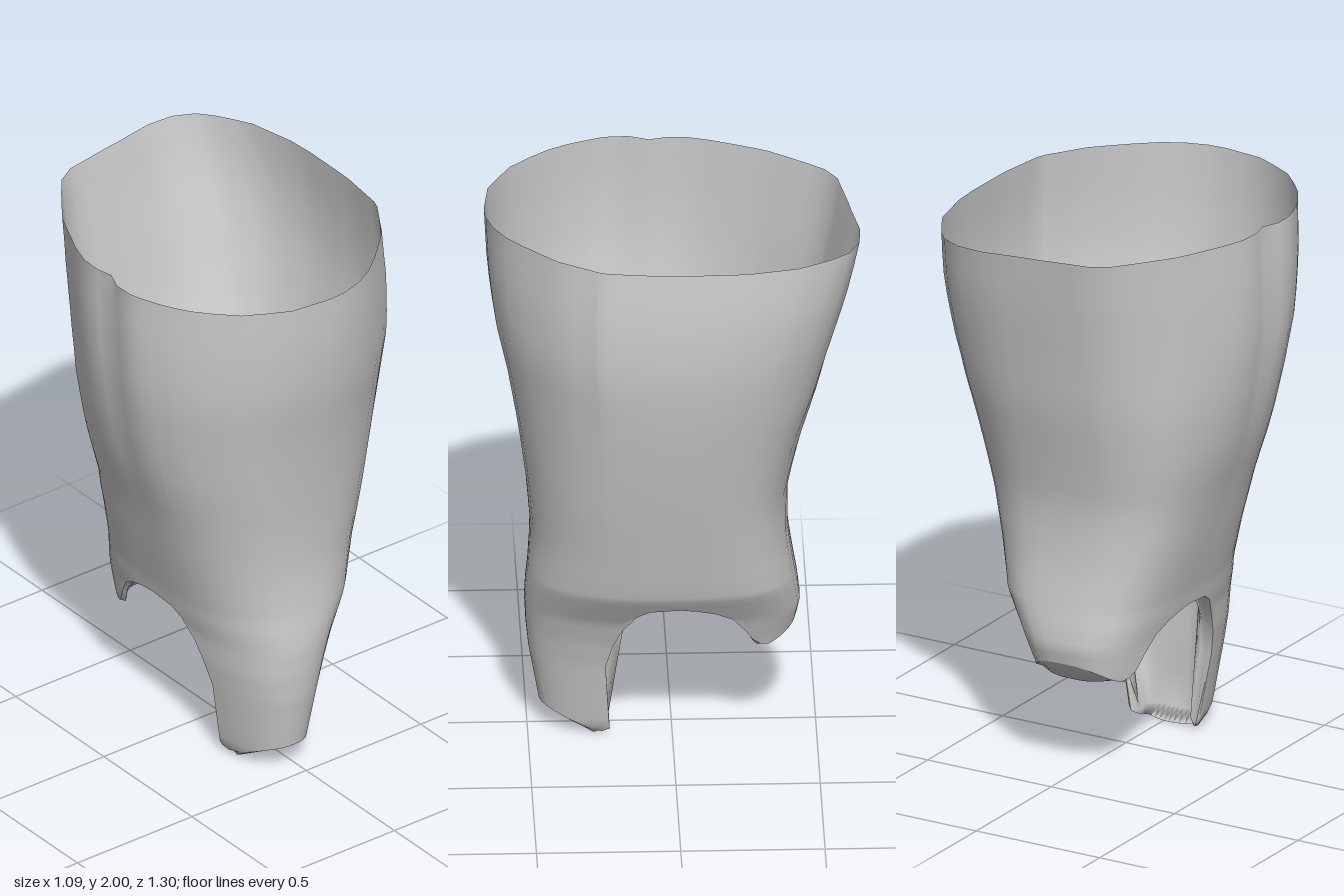
import * as THREE from 'three';

const { lerp, smoothstep, clamp } = THREE.MathUtils;
const material = new THREE.MeshStandardMaterial({ color: 0xcccccc, side: THREE.DoubleSide });

// Linear lookup in rows of [key, value, value...], keys descending
function lookup(rows, key, col) {
  if (key >= rows[0][0]) return rows[0][col];
  for (let i = 1; i < rows.length; i++) {
    const a = rows[i - 1], b = rows[i];
    if (key >= b[0]) return a[col] + (b[col] - a[col]) * (a[0] - key) / (a[0] - b[0]);
  }
  return rows[rows.length - 1][col];
}

// Cross-section extents: height, x min, x max, z back, z front
const sections = [
  [2, -.55, .525, -.65, .65], [1.8, -.553, .545, -.607, .64], [1.6, -.54, .545, -.555, .615],
  [1.4, -.505, .515, -.508, .57], [1.2, -.455, .475, -.45, .535], [1, -.385, .43, -.402, .507],
  [.8, -.33, .38, -.4, .49], [.64, -.285, .34, -.425, .5], [.57, -.27, .295, -.437, .507],
  [.5, -.25, .25, -.445, .51], [.4, -.235, .21, -.425, .505], [.3, -.215, .18, -.4, .495],
  [.1, -.18, .14, -.37, .46], [.05, -.17, .13, -.36, .45], [0, -.14, .1, -.36, .44],
];

// Height of the lower edge, by depth from front (1) to back (-1)
const lowerEdge = [
  [1, .1], [.9, .085], [.7, .045], [.5, .015], [.43, .03], [.415, .3], [.36, .4], [.3, .47], [.2, .545],
  [.1, .575], [-.15, .585], [-.35, .565], [-.5, .52], [-.6, .46], [-.7, .395], [-.8, .37],
  [-.92, .4], [-1, .44],
];

// Uneven outline of the open top, x and z
const topOutline = [
  [0, .65], [.1, .64], [.23, .57], [.4, .41], [.5, .25], [.525, .05], [.525, -.23], [.48, -.44],
  [.39, -.59], [.32, -.64], [.21, -.65], [-.21, -.58], [-.27, -.54], [-.34, -.45], [-.42, -.34],
  [-.5, -.16], [-.54, -.03], [-.51, .05], [-.55, .15], [-.53, .24], [-.49, .34], [-.43, .44],
  [-.32, .55], [-.17, .63],
].map(([x, z]) => [(x + .0125) / .5375, z / .65]);
const polar = topOutline.flatMap(([x, z], i) => {
  const [x2, z2] = topOutline[(i + 1) % topOutline.length];
  return [0, .2, .4, .6, .8].map((t) => [lerp(x, x2, t), lerp(z, z2, t)]);
}).map(([x, z]) => [Math.atan2(x, z), Math.hypot(x, z)]).sort((a, b) => b[0] - a[0]);
polar.unshift([polar[polar.length - 1][0] + 2 * Math.PI, polar[polar.length - 1][1]]);
polar.push([polar[1][0] - 2 * Math.PI, polar[1][1]]);

// Half width of a rounded section at depth s
const spread = (s, n) => Math.pow(Math.max(0, 1 - Math.pow(Math.abs(s), n)), 1 / n);

// Point on the wall at depth s (-1..1), on side +1 or -1, at height y
function wallPoint(s, side, y) {
  const [x0, x1, z0, z1] = [1, 2, 3, 4].map((c) => lookup(sections, y, c));
  const u = side * spread(s, s > 0 ? 2.4 : 3.1 - .9 * smoothstep(y, .7, 1.8));
  const k = lookup(polar, Math.atan2(u, s), 1) / Math.hypot(u, s);
  const bend = lerp(1, k, smoothstep(y, .8, 2));
  return [(x0 + x1) / 2 + u * bend * (x1 - x0) / 2, y, (z0 + z1) / 2 + s * bend * (z1 - z0) / 2];
}

// Pulls an inner point sideways so that it stays within the wall
function keepInside([x, y, z], side) {
  const z0 = lookup(sections, y, 3), z1 = lookup(sections, y, 4);
  const s = clamp((2 * z - z0 - z1) / (z1 - z0), -1, 1);
  const limit = wallPoint(s, side, y)[0] - side * .025;
  return [side > 0 ? Math.min(x, limit) : Math.max(x, limit), y, z];
}

// Joins equal closed rows of points into a skin
function skin(name, rows) {
  const n = rows[0].length, index = [];
  for (let r = 0; r + 1 < rows.length; r++) {
    for (let c = 0; c < n; c++) {
      const d = (c + 1) % n, a = r * n, b = a + n;
      index.push(a + c, b + c, a + d, a + d, b + c, b + d);
    }
  }
  const g = new THREE.BufferGeometry();
  g.setAttribute('position', new THREE.Float32BufferAttribute(rows.flat(2), 3));
  g.setIndex(index);
  g.computeVertexNormals();
  const m = new THREE.Mesh(g, material);
  m.name = name;
  return m;
}

const depths = [1, .997, .98, .94, .87, .77, .66, .57, .5, .43, .415, .36, .3, .2, .1, 0, -.12, -.25,
  -.38, -.5, -.6, -.68, -.75, -.82, -.89, -.95, -.98, -.997, -1];
const columns = [
  ...depths.map((s) => [s, 1]),
  ...depths.slice(1, -1).reverse().map((s) => [s, -1]),
];

// Inner socket along one column: rolled lip, cavity wall, shoulder, dome
function socketColumn([s, side]) {
  const edge = wallPoint(s, side, lookup(lowerEdge, s, 1));
  const [x, y, z] = edge;
  const middle = y < .3 ? -.02 : .015;
  const shoulder = keepInside([
    .015 + side * .235 * spread(s, s > 0 ? 2 : 3.5), clamp(y + .06, .54, .64),
    s > 0 ? Math.min(.31, .38 * s) : .31 * s,
  ], side);
  let lip, wall;
  if (s >= .43) {
    // Sole of the front tongue, then up its inner face
    const t = (s - .43) / .57;
    lip = [lerp(x, middle, .1), lerp(y, .005, Math.min(1, t * 3)), lerp(z, .25, .4 + .6 * t)];
    wall = [lerp(x, middle, .2), .05, lerp(.225, .29, Math.sqrt(t))];
  } else if (s <= -.65) {
    // Rolled underside of the back tongue
    const t = (-s - .65) / .35;
    lip = [lerp(x, middle, .08), lerp(y, .365, t), z + .06 * t];
    wall = [lerp(x, middle, .15), y + .03 * (1 - t), lerp(z, -.315, t)];
  } else {
    // Rounded edge of the side arch
    lip = [x - side * .025, y, z];
    wall = [x - side * .045, y + .015, z];
  }
  const points = [edge, lip, wall];
  for (const t of [.25, .5, .75]) {
    points.push(keepInside(wall.map((v, i) => lerp(v, shoulder[i], t)), side));
  }
  for (const k of [1, .85, .7, .5, .3, .12, 0]) {
    points.push([lerp(.015, shoulder[0], k), lerp(shoulder[1], .71, 1 - k * k), shoulder[2] * k]);
  }
  return points;
}

export function createModel() {
  const group = new THREE.Group();

  // Outer sleeve: open top, arched sides, long front tongue, short back tongue
  const heights = [];
  for (let i = 0; i < 16; i++) heights.push(lerp(2, .65, i / 16));
  for (let i = 0; i <= 26; i++) heights.push(lerp(.65, 0, i / 26));
  group.add(skin('sleeve', heights.map((h) => columns.map(([s, side]) =>
    wallPoint(s, side, Math.max(h, lookup(lowerEdge, s, 1)))))));

  // Hollow socket that turns in from the lower edge and closes in a dome
  const inner = columns.map(socketColumn);
  group.add(skin('innerSocket', inner[0].map((_, r) => inner.map((column) => column[r]))));

  return group;
}
